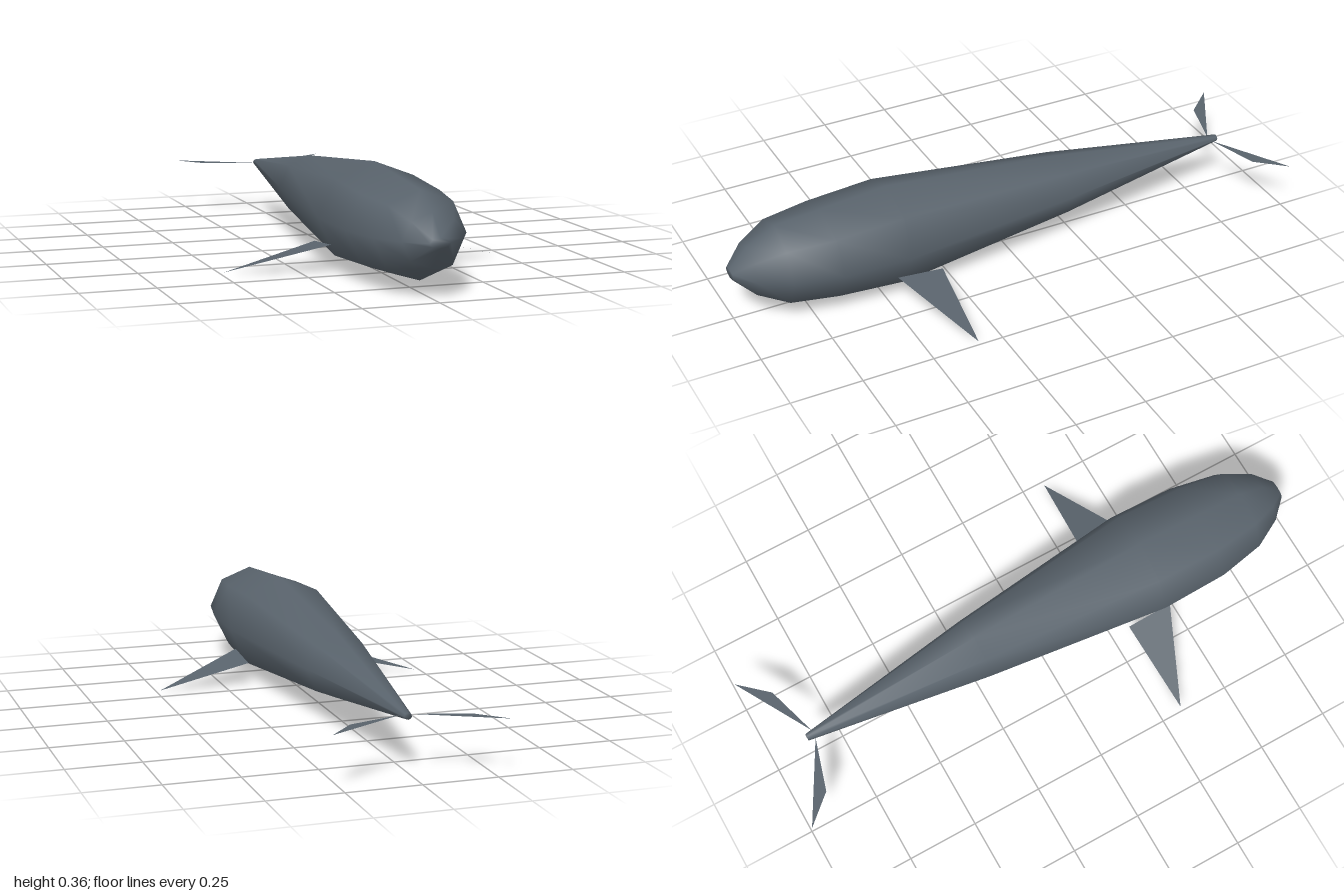
import * as THREE from 'three';

const slateGrey = new THREE.MeshStandardMaterial({ color: 0x59636c });
slateGrey.name = 'slateGrey';
const finGrey = new THREE.MeshStandardMaterial({ color: 0x59636c, side: THREE.DoubleSide });
finGrey.name = 'finGrey';

// Smooth body lofted through eight-sided rings, each [z, centre y, half width, half height]
function loft(rings, sides) {
  const pos = [], index = [];
  for (const [z, cy, rx, ry] of rings) {
    for (let i = 0; i < sides; i++) {
      const a = (i / sides) * Math.PI * 2;
      pos.push(Math.cos(a) * rx, cy + Math.sin(a) * ry, z);
    }
  }
  for (let r = 0; r < rings.length - 1; r++) {
    for (let i = 0; i < sides; i++) {
      const j = (i + 1) % sides;
      const a = r * sides + i, b = r * sides + j, c = a + sides, d = b + sides;
      index.push(a, c, b, b, c, d);
    }
  }
  // Nose and tail caps
  const last = (rings.length - 1) * sides;
  for (let i = 1; i < sides - 1; i++) {
    index.push(0, i, i + 1, last, last + i + 1, last + i);
  }
  const geo = new THREE.BufferGeometry();
  geo.setAttribute('position', new THREE.Float32BufferAttribute(pos, 3));
  geo.setIndex(index);
  geo.computeVertexNormals();
  return geo;
}

// Flat triangular fin, mirrored by the sign of side; corners run so the top faces up
function fin(name, corners, side) {
  const pts = corners.map(([x, y, z]) => [x * side, y, z]);
  if (side < 0) pts.reverse();
  const geo = new THREE.BufferGeometry();
  geo.setAttribute('position', new THREE.Float32BufferAttribute(pts.flat(), 3));
  geo.computeVertexNormals();
  const mesh = new THREE.Mesh(geo, finGrey);
  mesh.name = name;
  return mesh;
}

export function createModel() {
  const model = new THREE.Group();
  model.name = 'whale';

  const body = new THREE.Mesh(loft([
    [1.0, 0.186, 0.035, 0.017],
    [0.935, 0.184, 0.1, 0.087],
    [0.835, 0.183, 0.155, 0.142],
    [0.67, 0.182, 0.187, 0.157],
    [0.43, 0.182, 0.193, 0.178],
    [-0.22, 0.184, 0.114, 0.11],
    [-0.87, 0.184, 0.013, 0.011],
  ], 8), slateGrey);
  body.name = 'body';
  model.add(body);

  for (const [label, side] of [['left', 1], ['right', -1]]) {
    model.add(fin(label + 'Flipper',
      [[0.163, 0.1, 0.47], [0.485, 0.003, 0.33], [0.163, 0.085, 0.305]], side));
    model.add(fin(label + 'TailFluke',
      [[0.015, 0.184, -0.845], [0.2, 0.184, -0.9], [0.29, 0.186, -1.0]], side));
  }
  return model;
}
